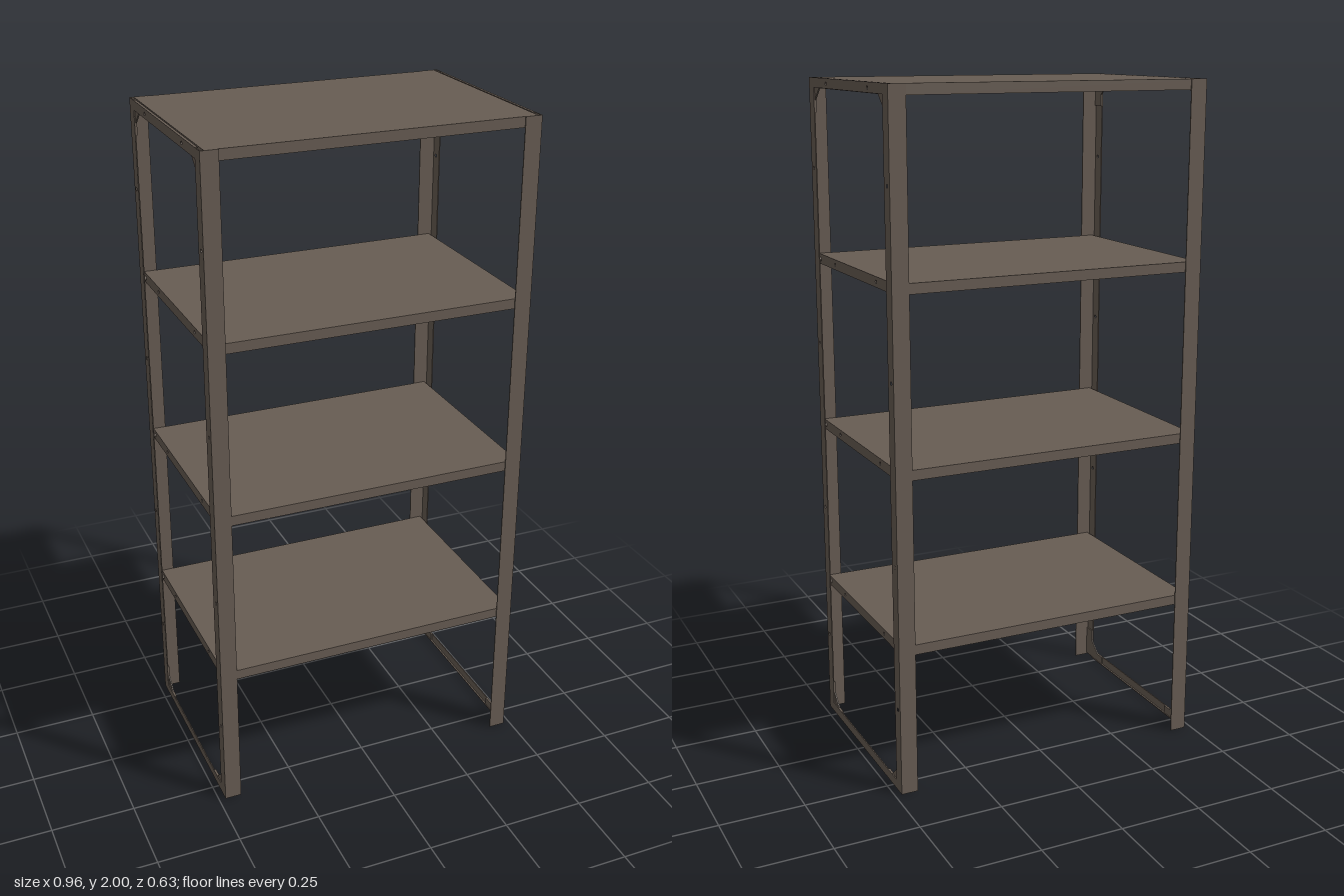
import * as THREE from 'three';

const H = 2, HX = 0.48, HZ = 0.315;   // overall height and half extents
const T = 0.003;                      // sheet thickness
const POST_Z = 0.04, POST_X = 0.05, RAIL = 0.028;
const SHELF_X = 0.468, SHELF_Z = HZ - T, LIP = 0.03;
const SHELF_TOPS = [0.455, 0.97, 1.485, 2];

const steel = new THREE.MeshStandardMaterial({ color: 0x675c53 });
steel.name = 'brownSteel';

function mesh(name, geometry) {
  const m = new THREE.Mesh(geometry, steel);
  m.name = name;
  return m;
}

// Box given by its minimum and maximum corners
function box(name, x0, x1, y0, y1, z0, z1) {
  const g = new THREE.BoxGeometry(x1 - x0, y1 - y0, z1 - z0);
  g.translate((x0 + x1) / 2, (y0 + y1) / 2, (z0 + z1) / 2);
  return mesh(name, g);
}

// Flat plate in the z-y plane, with its outer face at x
function sidePlate(name, points, x, holes = [], thickness = T) {
  const shape = new THREE.Shape(points.map(([z, y]) => new THREE.Vector2(-z, y)));
  for (const hole of holes) shape.holes.push(hole);
  const g = new THREE.ExtrudeGeometry(shape, { depth: thickness, bevelEnabled: false, curveSegments: 8 });
  g.rotateY(Math.PI / 2);
  g.translate(x - thickness, 0, 0);
  return mesh(name, g);
}

const rect = (z0, z1, y0, y1) => [[z0, y0], [z0, y1], [z1, y1], [z1, y0]];

function boltHole(z, y) {
  return new THREE.Path().absarc(-z, y, 0.005, 0, Math.PI * 2, true);
}

// Sheet tray with four turned-down lips, open underneath
function shelf(top) {
  const g = new THREE.Group();
  g.name = 'shelf';
  const y = top - LIP;
  g.add(box('shelfPanel', -SHELF_X, SHELF_X, top - T, top, -SHELF_Z, SHELF_Z));
  for (const s of [-1, 1]) {
    const z = s * (SHELF_Z - T / 2);
    g.add(box('shelfLongLip', -SHELF_X, SHELF_X, y, top - T, z - T / 2, z + T / 2));
    const inner = SHELF_Z - T;
    const holes = [-0.167, 0.167].map((hz) => boltHole(hz, top - LIP / 2));
    const x = s > 0 ? SHELF_X : -SHELF_X + T;
    g.add(sidePlate('shelfSideLip', rect(-inner, inner, y, top - T), x, holes));
  }
  return g;
}

// End frame on one side: angle posts, rails and corner gussets
function endFrame(side) {
  const g = new THREE.Group();
  g.name = side > 0 ? 'leftEndFrame' : 'rightEndFrame';
  const plateX = side > 0 ? HX : -HX + T;
  const gussetX = side > 0 ? HX - T : -HX + T + 0.004;
  const span = (name, a, b, y0, y1, z0, z1) =>
    g.add(box(name, Math.min(side * a, side * b), Math.max(side * a, side * b), y0, y1, z0, z1));

  for (const s of [-1, 1]) {
    // Post: side flange with bolt holes and front or back flange
    const zOut = s * (HZ - T), zIn = s * (HZ - POST_Z);
    const holes = [0.26, 0.69, 1.215, 1.74].map((y) => boltHole(s * 0.297, y));
    g.add(sidePlate('postSideFlange', rect(zIn, zOut, 0, H), plateX, holes));
    span('postFaceFlange', HX - POST_X, HX, 0, H,
      Math.min(zOut, s * HZ), Math.max(zOut, s * HZ));

    // Corner gussets at the foot and the top
    for (const up of [true, false]) {
      const at = (d) => (up ? d : H - d);
      const pts = [[0.312, 0.004], [0.205, 0.004], [0.205, 0.028], [0.235, 0.028],
        [0.275, 0.064], [0.275, 0.1], [0.312, 0.1]].map(([z, d]) => [s * z, at(d)]);
      g.add(sidePlate('cornerGusset', pts, gussetX, [], 0.004));
    }

    // Bolts joining the posts to the shelves
    for (const top of SHELF_TOPS) {
      for (const z of [0.25, 0.295]) {
        if (z < 0.27 && top < H) continue;
        const bolt = new THREE.CylinderGeometry(0.006, 0.006, 0.012, 10);
        bolt.rotateZ(Math.PI / 2);
        bolt.translate(side * 0.472, top - LIP / 2, s * z);
        g.add(mesh('shelfBolt', bolt));
      }
    }
  }

  // Rails: upright strip and narrow horizontal flange
  const rz = HZ - POST_Z;
  const topHoles = [-0.167, 0.167].map((z) => boltHole(z, H - LIP / 2));
  g.add(sidePlate('topRail', rect(-rz, rz, H - RAIL, H), plateX, topHoles));
  g.add(sidePlate('footRail', rect(-rz, rz, 0, RAIL), plateX));
  span('topRailFlange', HX - 0.008, HX - T, H - T, H, -rz, rz);
  span('footRailFlange', HX - 0.008, HX - T, 0, T, -rz, rz);
  return g;
}

export function createModel() {
  const model = new THREE.Group();
  model.name = 'shelvingUnit';
  for (const top of SHELF_TOPS) model.add(shelf(top));
  for (const side of [-1, 1]) model.add(endFrame(side));
  return model;
}
